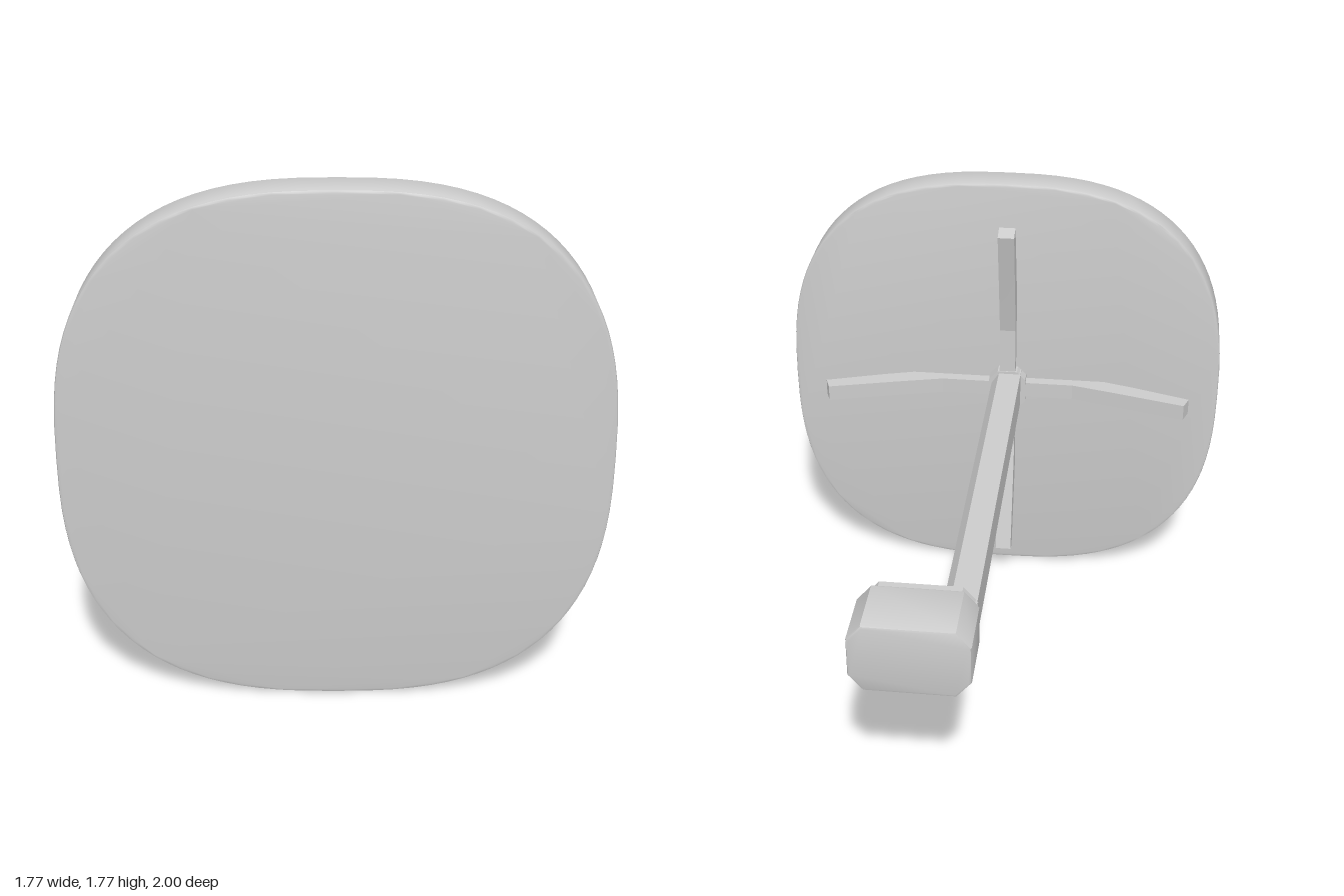
import * as THREE from 'three';
import { toCreasedNormals } from 'three/addons/utils/BufferGeometryUtils.js';

const material = new THREE.MeshStandardMaterial({ color: 0xcccccc });

// Extrude an outline along z from z0 to z1, with an optional bevel kept inside those limits
function prism(points, z0, z1, bevel = 0, crease = 0.5) {
  const shape = new THREE.Shape(points.map(([x, y]) => new THREE.Vector2(x, y)));
  const geometry = new THREE.ExtrudeGeometry(shape, {
    depth: z1 - z0 - 2 * bevel,
    bevelEnabled: bevel > 0,
    bevelThickness: bevel,
    bevelSize: bevel,
    bevelOffset: -bevel,
    bevelSegments: 2,
  });
  geometry.translate(0, 0, z0 + bevel);
  return toCreasedNormals(geometry, crease);
}

// Rectangle with cut corners
function cutRect(x0, x1, y0, y1, cx, cy) {
  return [
    [x0 + cx, y0], [x1 - cx, y0], [x1, y0 + cy], [x1, y1 - cy],
    [x1 - cx, y1], [x0 + cx, y1], [x0, y1 - cy], [x0, y0 + cy],
  ];
}

// Rounded square outline (superellipse)
function roundedSquare(radius, cy, power, count) {
  const root = (v) => Math.sign(v) * Math.abs(v) ** (2 / power);
  return Array.from({ length: count }, (_, i) => {
    const a = (i / count) * Math.PI * 2;
    return [radius * root(Math.cos(a)), cy + radius * root(Math.sin(a))];
  });
}

export function createModel() {
  const group = new THREE.Group();
  const add = (name, geometry, parent = group) => {
    const mesh = new THREE.Mesh(geometry, material);
    mesh.name = name;
    parent.add(mesh);
    return mesh;
  };

  // Large upright panel
  add('panel', prism(roundedSquare(0.885, 0.885, 2.65, 96), 0.865, 1, 0.01));

  // Four arms behind the panel, flat near the middle and bent away at the tips
  const arms = new THREE.Group();
  arms.name = 'arms';
  arms.position.set(-0.015, 0.887, 0);
  group.add(arms);
  const armProfile = [
    [0, -0.87], [0.38, -0.87], [0.52, -0.83], [0.75, -0.755],
    [0.73, -0.7], [0.45, -0.775], [0.27, -0.82], [0, -0.82],
  ];
  const armGeometry = prism(armProfile, -0.032, 0.032, 0, 0.2).rotateX(-Math.PI / 2);
  for (let i = 0; i < 4; i++) {
    add('arm', armGeometry, arms).rotation.z = (i * Math.PI) / 2;
  }

  // Small hub where the arms meet
  add('hub', prism(cutRect(-0.09, 0.06, 0.8, 0.97, 0.035, 0.035), 0.815, 0.87));

  // Long post, with one top edge cut off
  const postOutline = [[-0.07, 0.82], [0.05, 0.82], [0.05, 0.915], [0.02, 0.96], [-0.07, 0.96]];
  add('post', prism(postOutline, -0.78, 0.86));

  // Offset foot block at the far end, stepping down towards the post
  add('footBlock', prism(cutRect(-0.08, 0.33, 0.755, 1.02, 0.05, 0.06), -1, -0.77, 0.01));
  add('footStep', prism(cutRect(-0.072, 0.31, 0.762, 1.01, 0.05, 0.06), -0.78, -0.738));
  add('footLip', prism(cutRect(-0.065, 0.285, 0.775, 0.985, 0.045, 0.05), -0.75, -0.71));

  return group;
}
